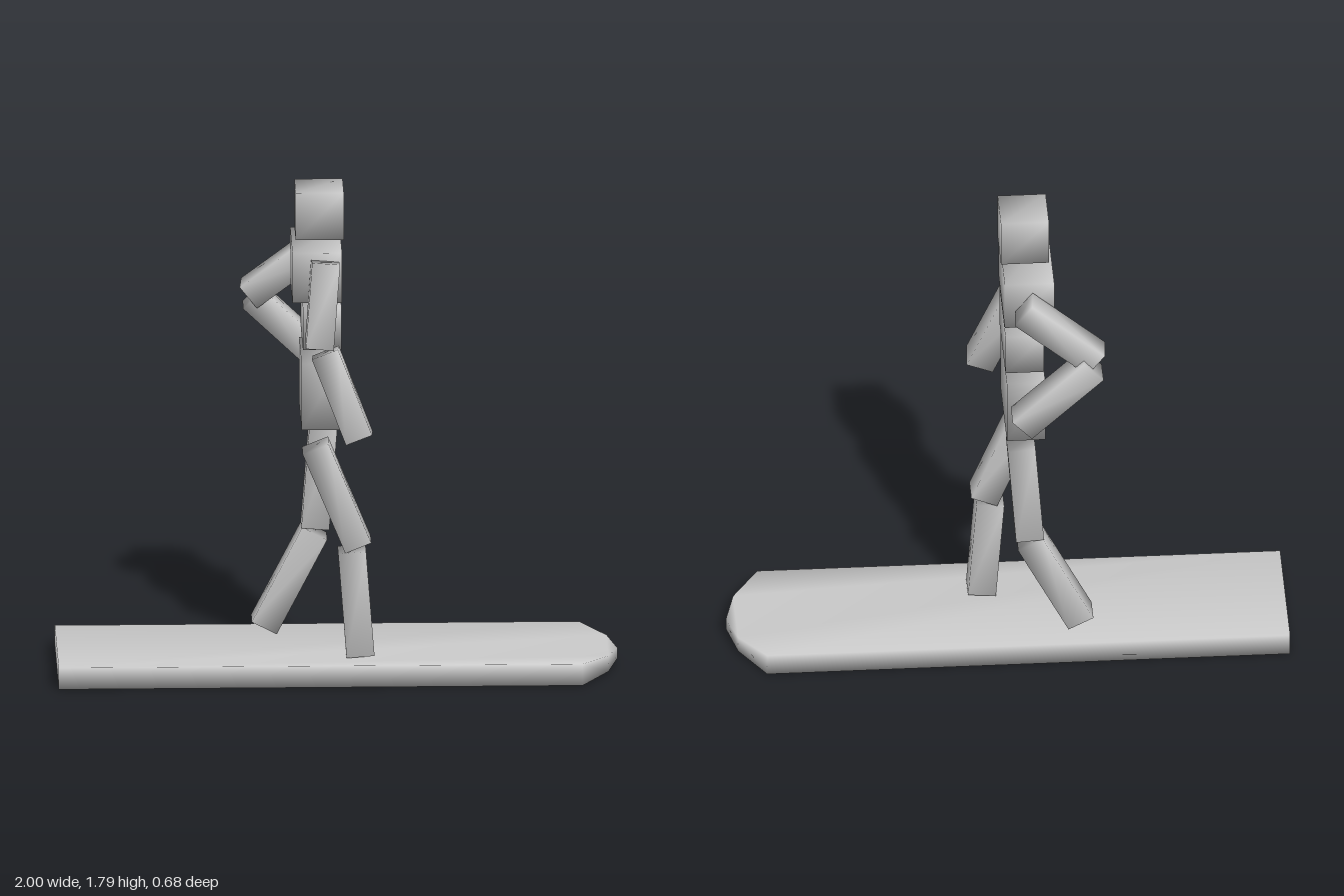
import * as THREE from 'three';
import { mergeVertices } from 'three/addons/utils/BufferGeometryUtils.js';

const material = new THREE.MeshStandardMaterial({ color: 0xcccccc });

// Weld the corners so that the shading runs softly over the edges
function soften(geometry) {
  geometry.deleteAttribute('normal');
  geometry.deleteAttribute('uv');
  const welded = mergeVertices(geometry, 1e-4);
  welded.computeVertexNormals();
  return welded;
}

// Upright block given by its extents on each axis
function block(name, [x0, x1], [y0, y1], [z0, z1]) {
  const mesh = new THREE.Mesh(soften(new THREE.BoxGeometry(x1 - x0, y1 - y0, z1 - z0)), material);
  mesh.position.set((x0 + x1) / 2, (y0 + y1) / 2, (z0 + z1) / 2);
  mesh.name = name;
  return mesh;
}

// Square bar running between two end centres, kept facing along z
function limb(name, from, to, width = 0.1) {
  const a = new THREE.Vector3(...from);
  const b = new THREE.Vector3(...to);
  const up = a.clone().sub(b);
  const mesh = new THREE.Mesh(soften(new THREE.BoxGeometry(width, up.length(), width)), material);
  up.normalize();
  const side = up.clone().cross(new THREE.Vector3(0, 0, 1)).normalize();
  const front = side.clone().cross(up);
  mesh.quaternion.setFromRotationMatrix(new THREE.Matrix4().makeBasis(side, up, front));
  mesh.position.copy(a).add(b).multiplyScalar(0.5);
  mesh.name = name;
  return mesh;
}

// Flat board with a faceted nose that thins towards the tip
function makeBoard() {
  const thickness = 0.08, noseStart = 0.87;
  const outline = [[-1, -0.265], [0.87, -0.265], [0.965, -0.13], [1, 0], [0.965, 0.13], [0.87, 0.265], [-1, 0.265]];
  const shape = new THREE.Shape(outline.map(([x, y]) => new THREE.Vector2(x, y)));
  const geometry = new THREE.ExtrudeGeometry(shape, { depth: thickness, bevelEnabled: false });
  geometry.rotateX(-Math.PI / 2);
  geometry.translate(0, 0, -0.008);
  const p = geometry.attributes.position;
  for (let i = 0; i < p.count; i++) {
    const t = Math.max(0, (p.getX(i) - noseStart) / (1 - noseStart));
    const mid = thickness / 2;
    p.setY(i, mid + (p.getY(i) - mid) * (1 - 0.5 * t * t));
  }
  const mesh = new THREE.Mesh(soften(geometry), material);
  mesh.name = 'board';
  return mesh;
}

export function createModel() {
  const model = new THREE.Group();
  model.name = 'boardRider';

  // Head and trunk
  model.add(
    block('head', [-0.15, 0.022], [1.615, 1.79], [-0.092, 0.086]),
    block('chest', [-0.163, 0.014], [1.4, 1.585], [-0.18, 0.15]),
    block('abdomen', [-0.125, 0.013], [1.217, 1.372], [-0.2, 0.125]),
    block('pelvis', [-0.13, 0.008], [0.922, 1.168], [-0.2, 0.134]),
  );

  // Arm and leg on the +z side
  model.add(
    limb('frontUpperArm', [-0.046, 1.564, 0.195], [-0.07, 1.261, 0.252]),
    limb('frontForearm', [-0.048, 1.243, 0.244], [0.072, 0.938, 0.294]),
    limb('frontThigh', [-0.08, 0.854, 0.1], [0.072, 0.485, 0.1]),
    limb('frontShin', [0.05, 0.468, 0.1], [0.08, 0.08, 0.1]),
  );

  // Arm and leg on the -z side
  model.add(
    limb('backUpperArm', [-0.05, 1.515, -0.235], [-0.307, 1.313, -0.268]),
    limb('backForearm', [-0.294, 1.3, -0.285], [-0.038, 1.057, -0.285]),
    limb('backThigh', [-0.045, 0.876, -0.15], [-0.075, 0.482, -0.15]),
    limb('backShin', [-0.077, 0.465, -0.15], [-0.257, 0.115, -0.15]),
  );

  model.add(makeBoard());
  return model;
}
